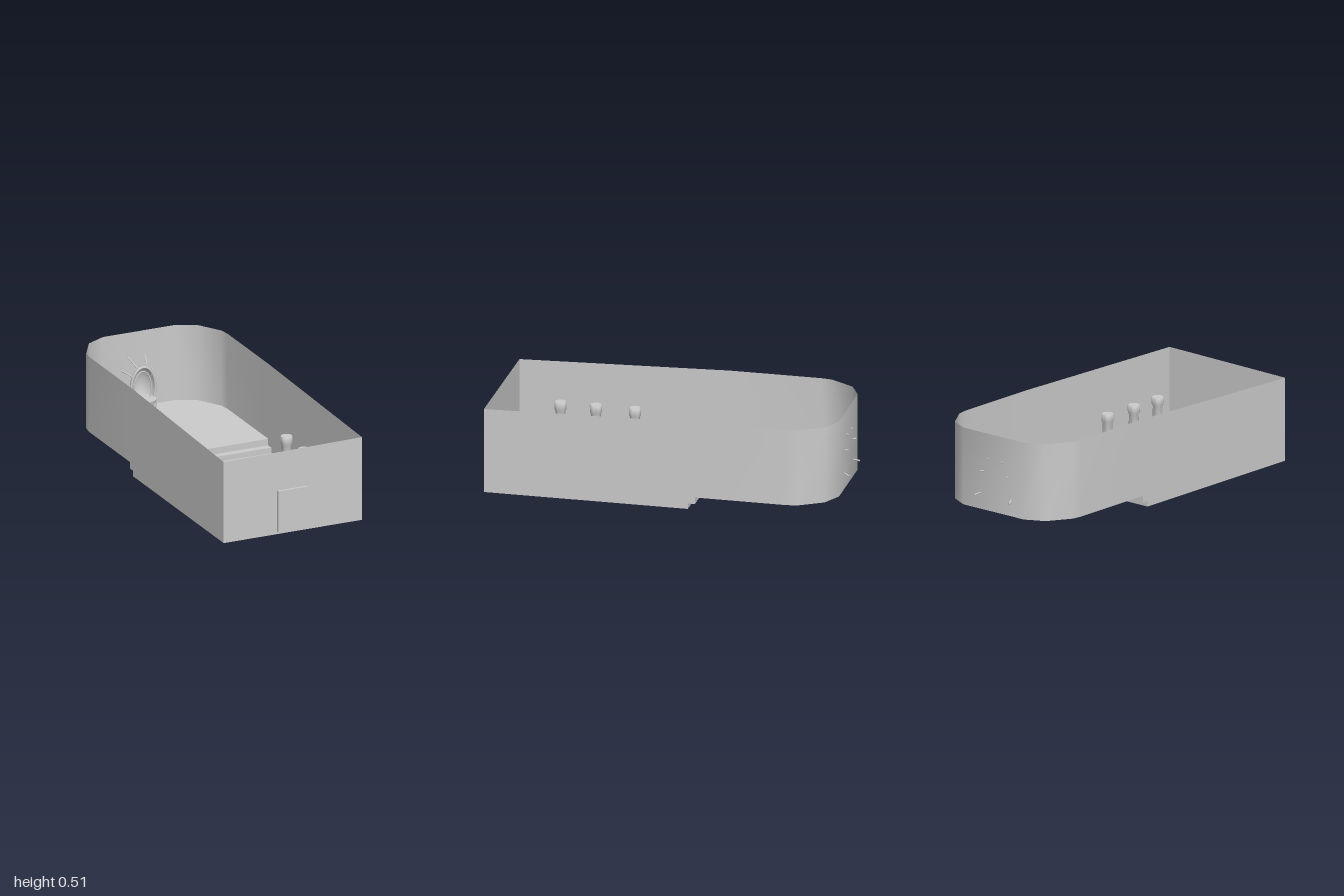
import * as THREE from 'three';
import { toCreasedNormals } from 'three/addons/utils/BufferGeometryUtils.js';

const material = new THREE.MeshStandardMaterial({ color: 0xcccccc, side: THREE.DoubleSide });

function add(parent, name, geometry, x = 0, y = 0, z = 0) {
  const mesh = new THREE.Mesh(geometry, material);
  mesh.name = name;
  mesh.position.set(x, y, z);
  parent.add(mesh);
  return mesh;
}

// Sheet lofted between two equally long rows of points
function sheet(rowA, rowB) {
  const positions = [];
  for (let i = 0; i < rowA.length - 1; i++) {
    const [a, b, c, d] = [rowA[i], rowA[i + 1], rowB[i + 1], rowB[i]];
    positions.push(...a, ...b, ...c, ...a, ...c, ...d);
  }
  const geometry = new THREE.BufferGeometry();
  geometry.setAttribute('position', new THREE.Float32BufferAttribute(positions, 3));
  return toCreasedNormals(geometry, 0.6);
}

const W = 0.42, FRONT = 0.985, LOW = 0.005, MID = 0.037, HIGH = 0.075;
const STEP1 = -0.165, STEP2 = -0.205;

// One half of the rounded end, from the side to the back: [x, z]
const apse = [[W, -0.72], [0.412, -0.78], [0.33, -0.915], [0.22, -0.97]];

// Side wall and half of the apse, from front to back: [x, z, floor, top]
function wallHalf(side) {
  const frontTop = side > 0 ? 0.49 : 0.48;
  const midTop = THREE.MathUtils.lerp(frontTop, 0.515, (FRONT - STEP1) / (FRONT - STEP2));
  return [
    [W, FRONT, LOW, frontTop], [W, STEP1, LOW, midTop], [W, STEP1, MID, midTop],
    [W, STEP2, MID, 0.515], [W, STEP2, HIGH, 0.515],
    ...apse.map(([x, z]) => [x, z, HIGH, 0.515]),
  ].map(([x, z, low, top]) => [x * side, z, low, top]);
}

function addRoom(group) {
  const left = wallHalf(1), right = wallHalf(-1);
  const ring = [...left, ...right.reverse(), left[0]];
  add(group, 'walls', sheet(
    ring.map(([x, z, low]) => [x, low, z]),
    ring.map(([x, z, , top]) => [x, top, z]),
  ));

  // Lower floor, two steps and raised floor up to the curve
  const profile = [[FRONT, LOW], [STEP1, LOW], [STEP1, MID], [STEP2, MID], [STEP2, HIGH]];
  const floor = [...profile.map(([z, y]) => [W, y, z]), ...apse.map(([x, z]) => [x, HIGH, z])];
  add(group, 'steppedFloor', sheet(floor, floor.map(([x, y, z]) => [-x, y, z])));

  add(group, 'door', new THREE.BoxGeometry(0.18, 0.24, 0.02), -0.005, 0.14, 0.99);
}

function addColumns(group) {
  const profile = [
    [0, 0], [0.036, 0], [0.035, 0.02], [0.029, 0.12], [0.027, 0.235],
    [0.033, 0.248], [0.034, 0.285], [0.031, 0.29], [0, 0.29],
  ].map(([r, y]) => new THREE.Vector2(r, y));
  const column = toCreasedNormals(new THREE.LatheGeometry(profile, 24), 0.7);
  for (const x of [-0.32, 0.285])
    for (const z of [0.31, 0.53, 0.73]) add(group, 'column', column, x, 0, z);
}

function addThrone(group) {
  const throne = new THREE.Group();
  throne.name = 'throne';
  throne.position.set(-0.015, 0, -0.885);
  group.add(throne);

  // Hollow egg-shaped back, open to the front
  const shell = new THREE.SphereGeometry(1, 24, 16, Math.PI, Math.PI);
  shell.scale(0.074, 0.125, 0.075);
  add(throne, 'shellBack', shell, 0, 0.208, 0);

  // Oval rims around the opening
  for (const [name, rx, ry, z, r] of [['outerRim', 0.074, 0.125, 0, 0.007], ['innerRim', 0.052, 0.098, -0.006, 0.004]]) {
    const points = Array.from({ length: 24 }, (_, i) => {
      const t = i / 24 * Math.PI * 2;
      return new THREE.Vector3(rx * Math.cos(t), ry * Math.sin(t), 0);
    });
    const path = new THREE.CatmullRomCurve3(points, true);
    add(throne, name, new THREE.TubeGeometry(path, 48, r, 8, true), 0, 0.208, z);
  }

  // Round seat on its base
  add(throne, 'seat', new THREE.CylinderGeometry(0.074, 0.07, 0.025, 28), 0, 0.14, 0);
  add(throne, 'base', new THREE.CylinderGeometry(0.045, 0.06, 0.055, 24), 0, 0.1025, 0);

  for (const side of [1, -1]) {
    add(throne, 'frontFoot', new THREE.CylinderGeometry(0.008, 0.01, 0.06, 10), side * 0.047, 0.105, 0.05);

    // Thin curved rays fanning out and back through the wall
    for (const [from, to] of [
      [[0.025, 0.322, 0], [0.05, 0.372, -0.09]],
      [[0.055, 0.28, 0], [0.095, 0.297, -0.1]],
      [[0.068, 0.18, -0.01], [0.125, 0.158, -0.113]],
    ]) {
      const a = new THREE.Vector3(...from), b = new THREE.Vector3(...to);
      const bend = a.clone().lerp(b, 0.5).add(new THREE.Vector3(0.008, 0.008, -0.008));
      for (const p of [a, bend, b]) p.x *= side;
      const path = new THREE.QuadraticBezierCurve3(a, bend, b);
      add(throne, 'ray', new THREE.TubeGeometry(path, 10, 0.004, 8));
      add(throne, 'rayTip', new THREE.SphereGeometry(0.005, 10, 8), b.x, b.y, b.z);
    }
  }
}

export function createModel() {
  const group = new THREE.Group();
  group.name = 'throneRoom';
  addRoom(group);
  addColumns(group);
  addThrone(group);
  return group;
}
